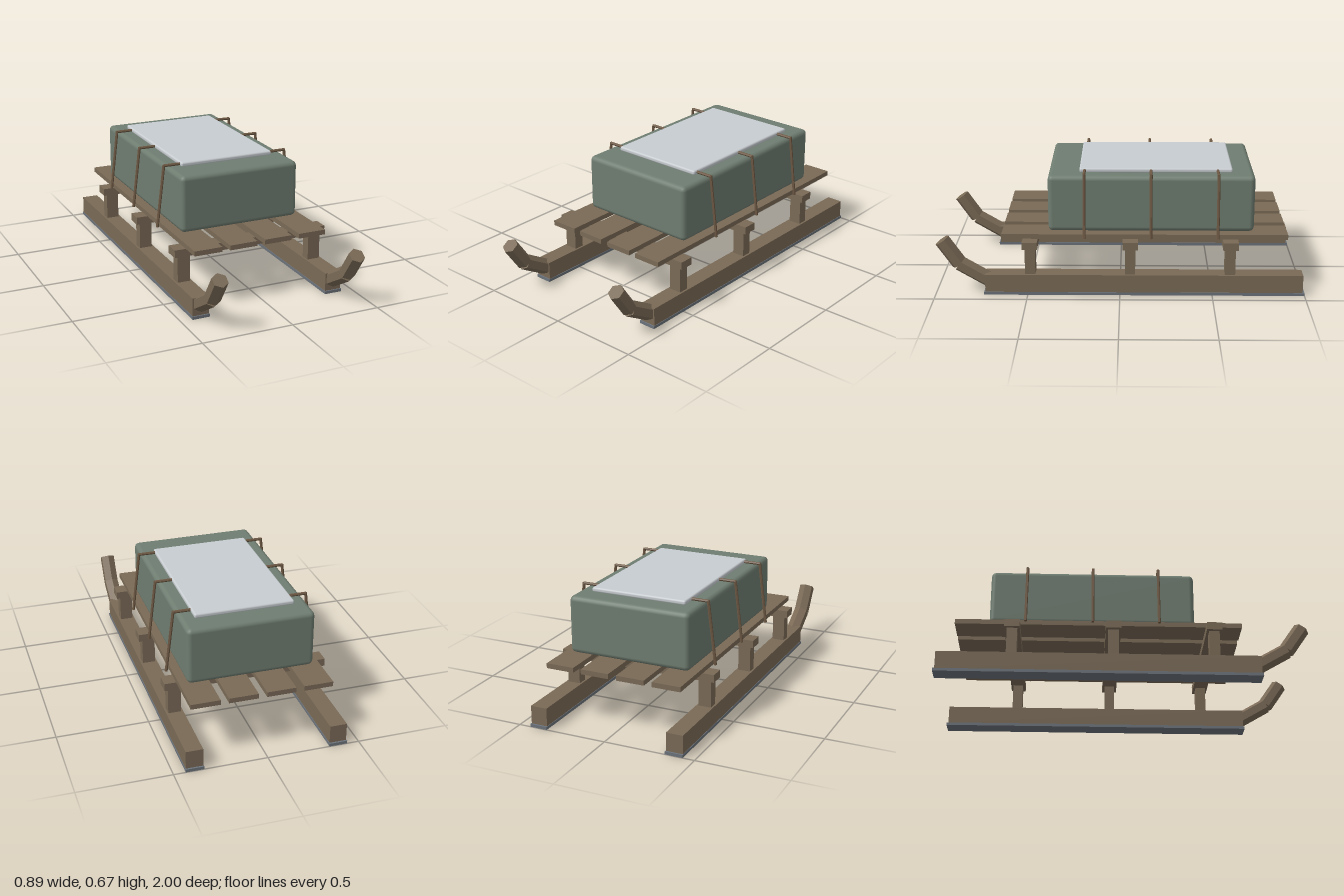
import * as THREE from 'three';
import { RoundedBoxGeometry } from 'three/addons/geometries/RoundedBoxGeometry.js';

const mat = (name, color, flatShading = false) => {
  const m = new THREE.MeshStandardMaterial({ color, flatShading });
  m.name = name;
  return m;
};

export function createModel() {
  const wood = mat('wood', 0x7a6a56, true);
  const canvas = mat('green canvas', 0x6f7d71);
  const sheetMat = mat('pale sheet', 0xc8cdd1);
  const steel = mat('steel', 0x6c737b);
  const rope = mat('rope', 0x6e5944, true);
  const sled = new THREE.Group();
  sled.name = 'cargoSled';

  const add = (name, geometry, material, x, y, z) => {
    const mesh = new THREE.Mesh(geometry, material);
    mesh.name = name;
    mesh.position.set(x, y, z);
    sled.add(mesh);
    return mesh;
  };
  // Box given by its centre x, and its y and z ranges
  const box = (name, material, x, width, [y0, y1], [z0, z1]) =>
    add(name, new THREE.BoxGeometry(width, y1 - y0, z1 - z0), material, x, (y0 + y1) / 2, (z0 + z1) / 2);
  // Straight rod between two points
  const rod = (name, material, a, b, radius, sides) => {
    const dir = b.clone().sub(a);
    const c = a.clone().add(b).multiplyScalar(0.5);
    const mesh = add(name, new THREE.CylinderGeometry(radius, radius, dir.length(), sides), material, c.x, c.y, c.z);
    mesh.quaternion.setFromUnitVectors(new THREE.Vector3(0, 1, 0), dir.normalize());
  };
  const v = (x, y, z) => new THREE.Vector3(x, y, z);
  const supports = [0.485, -0.055, -0.595];

  // Runners with steel shoes, bent tips and posts
  for (const [side, s] of [['left', 1], ['right', -1]]) {
    const x = s * 0.387;
    box(side + 'Runner', wood, x, 0.092, [0.015, 0.115], [-0.99, 0.73]);
    box(side + 'RunnerShoe', steel, x, 0.098, [0, 0.016], [-1, 0.737]);
    rod(side + 'TipLower', wood, v(x, 0.073, 0.715), v(x, 0.165, 0.87), 0.044, 6);
    rod(side + 'TipUpper', wood, v(x, 0.165, 0.87), v(x, 0.297, 0.96), 0.044, 6);
    for (const z of supports) box(side + 'Post', wood, x, 0.07, [0.11, 0.265], [z - 0.028, z + 0.028]);
  }

  // Cross bars and deck slats
  for (const z of supports) box('crossBar', wood, 0, 0.886, [0.262, 0.304], [z - 0.041, z + 0.041]);
  for (const x of [-0.302, -0.101, 0.101, 0.302]) box('deckSlat', wood, x, 0.157, [0.303, 0.33], [-0.905, 0.64]);

  // Wrapped cargo and the sheet lying on it
  add('cargo', new RoundedBoxGeometry(0.686, 0.313, 1.113, 2, 0.026), canvas, 0, 0.489, -0.168);
  add('topSheet', new RoundedBoxGeometry(0.54, 0.026, 0.826, 2, 0.01), sheetMat, 0, 0.655, -0.193);

  // Lashings over the load
  for (const z of [0.192, -0.166, -0.526]) {
    rod('lashingTop', rope, v(-0.364, 0.656, z), v(0.364, 0.656, z), 0.008, 6);
    for (const s of [-1, 1]) {
      rod('lashingSide', rope, v(s * 0.404, 0.314, z), v(s * 0.361, 0.66, z), 0.008, 6);
    }
  }
  return sled;
}
